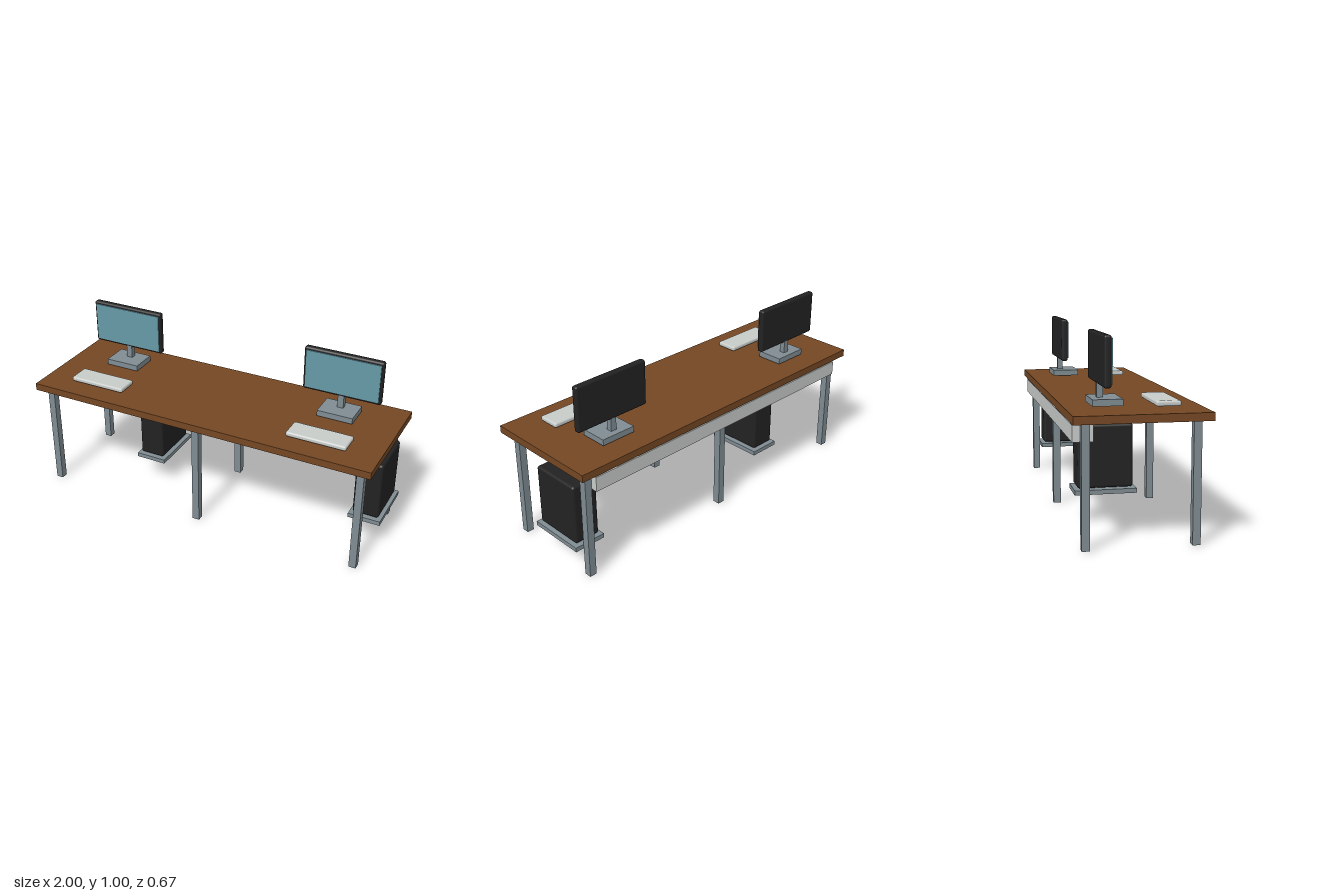
import * as THREE from 'three';
import { RoundedBoxGeometry } from 'three/addons/geometries/RoundedBoxGeometry.js';

const mat = (name, color) => {
  const m = new THREE.MeshStandardMaterial({ color });
  m.name = name;
  return m;
};

export function createModel() {
  const wood = mat('brown wood', 0x754723);
  const steel = mat('grey steel', 0x7f8c92);
  const black = mat('black plastic', 0x222222);
  const glass = mat('blue screen', 0x6699a7);
  const pale = mat('pale grey', 0xc8ccc9);

  const model = new THREE.Group();
  model.name = 'doubleDesk';

  // Box from its extents on each axis; a radius rounds its edges
  const box = (parent, name, material, [x0, x1], [y0, y1], [z0, z1], radius = 0) => {
    const size = [x1 - x0, y1 - y0, z1 - z0];
    const geometry = radius
      ? new RoundedBoxGeometry(...size, 3, radius)
      : new THREE.BoxGeometry(...size);
    const mesh = new THREE.Mesh(geometry, material);
    mesh.name = name;
    mesh.position.set((x0 + x1) / 2, (y0 + y1) / 2, (z0 + z1) / 2);
    parent.add(mesh);
  };
  const around = (c, half) => [c - half, c + half];

  // Desk: top, six legs and the cable tray along the back
  box(model, 'tabletop', wood, [-1, 1], [0.605, 0.645], [-0.333, 0.333]);
  for (const x of [-0.933, 0, 0.933])
    for (const z of [-0.267, 0.267])
      box(model, 'leg', steel, around(x, 0.02), [0, 0.605], around(z, 0.02));
  box(model, 'cableTray', pale, [-0.913, 0.913], [0.511, 0.592], [-0.324, -0.224]);

  // One set of equipment for each half of the desk
  for (const x of [-0.66, 0.66]) {
    const monitor = new THREE.Group();
    monitor.name = 'monitor';
    model.add(monitor);
    box(monitor, 'monitorBase', steel, around(x, 0.1), [0.651, 0.684], [-0.2, -0.05]);
    box(monitor, 'monitorNeck', steel, around(x, 0.017), [0.684, 0.77], [-0.164, -0.132]);
    box(monitor, 'monitorCase', black, around(x, 0.22), [0.751, 1], [-0.167, -0.13], 0.012);
    box(monitor, 'screen', glass, around(x, 0.208), [0.767, 0.985], [-0.132, -0.124]);

    box(model, 'keyboard', pale, around(x, 0.165), [0.652, 0.679], [0.098, 0.222], 0.01);
  }

  // Computer towers on their shelves, below the right of each workplace
  for (const x of [-0.41, 0.91]) {
    const tower = new THREE.Group();
    tower.name = 'computer';
    model.add(tower);
    box(tower, 'computerCase', black, around(x, 0.073), [0.185, 0.517], [-0.228, 0.063], 0.014);
    box(tower, 'computerShelf', steel, around(x, 0.09), [0.156, 0.18], [-0.245, 0.08]);
  }

  return model;
}
